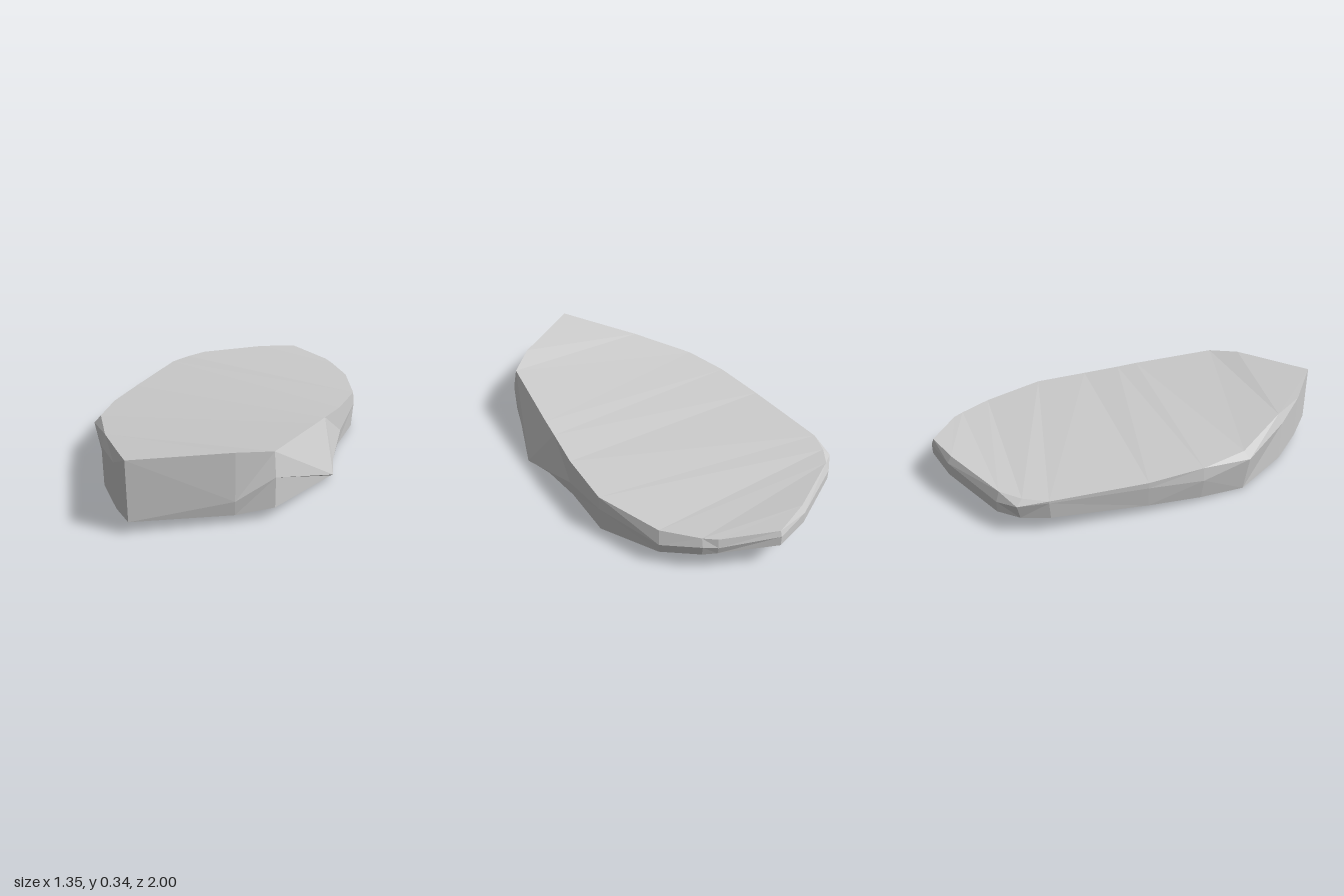
import * as THREE from 'three';

// Stations around the slab, counter-clockwise from above, starting at the front tip:
// [x, z, top height, top inset, height of widest point, bottom height, bottom inset]
const rightSide = [
  [0.15, 1.0, 0.345, 0, 0.06, 0.035, 0.05],
  [0.48, 0.7, 0.335, 0.01, 0.11, 0.04, 0.01],
  [0.6, 0.57, 0.31, 0.03, 0.2, 0.055, 0.0],
  [0.67, 0.13, 0.262, 0.16, 0.03, 0.02, 0.02],
  [0.61, 0.0, 0.248, 0.09, 0.04, 0.02, 0.02],
  [0.555, -0.2, 0.225, 0.02, 0.1, 0.015, 0.02],
  [0.51, -0.47, 0.205, 0.01, 0.14, 0.01, 0.01],
  [0.35, -0.77, 0.183, 0.03, 0.12, 0.07, 0.01],
  [0.2, -0.89, 0.188, 0.02, 0.15, 0.1, 0.01],
  [0.14, -0.92, 0.192, 0.01, 0.15, 0.11, 0.01],
];
const leftSide = [
  [-0.12, -1.0, 0.207, 0.01, 0.18, 0.13, 0.0],
  [-0.3, -0.91, 0.203, 0.02, 0.17, 0.11, 0.0],
  [-0.6, -0.68, 0.175, 0.02, 0.13, 0.08, 0.0],
  [-0.67, -0.59, 0.165, 0.04, 0.14, 0.075, 0.02],
  [-0.675, -0.45, 0.16, 0.0, 0.15, 0.07, 0.01],
  [-0.6, 0.0, 0.168, 0.0, 0.14, 0.04, 0.02],
  [-0.54, 0.27, 0.185, 0.01, 0.12, 0.02, 0.03],
  [-0.46, 0.51, 0.205, 0.05, 0.17, 0.0, 0.04],
  [-0.2, 0.75, 0.262, 0.03, 0.21, 0.01, 0.0],
  [0.0, 0.9, 0.308, 0.02, 0.25, 0.025, 0.0],
];
const stations = [...rightSide, ...leftSide];
const N = stations.length;

// Horizontal ring of corners pulled towards the centre by an inset
const ring = (height, inset) => stations.map((s) => {
  const k = 1 - (inset === null ? 0 : s[inset]);
  return [s[0] * k, s[height], s[1] * k];
});

function facetedMesh(name, triangles) {
  const geometry = new THREE.BufferGeometry();
  geometry.setAttribute('position', new THREE.Float32BufferAttribute(triangles.flat(2), 3));
  geometry.computeVertexNormals();
  const mesh = new THREE.Mesh(geometry, new THREE.MeshStandardMaterial({ color: 0xcccccc, flatShading: true }));
  mesh.name = name;
  return mesh;
}

// Wall between two rings, with alternating diagonals for a chipped look
function wall(lower, upper) {
  const triangles = [];
  for (let i = 0; i < N; i++) {
    const j = (i + 1) % N;
    const [a, b, c, d] = [lower[i], lower[j], upper[j], upper[i]];
    if (i % 2) triangles.push([a, b, c], [a, c, d]);
    else triangles.push([a, b, d], [b, c, d]);
  }
  return triangles;
}

// Cap made of strips running across the slab between opposite corners
function cap(points, up) {
  const triangles = [];
  for (let i = 0; i < N / 2; i++) {
    const a = points[i], b = points[i + 1];
    const c = points[N - i - 1], d = points[(N - i) % N];
    if (i < N / 2 - 1) triangles.push([a, b, c]);
    if (i > 0) triangles.push([a, c, d]);
  }
  return up ? triangles : triangles.map(([a, b, c]) => [a, c, b]);
}

export function createModel() {
  const top = ring(2, 3), middle = ring(4, null), bottom = ring(5, 6);
  const slab = new THREE.Group();
  slab.name = 'stoneSlab';
  slab.add(
    facetedMesh('topFace', cap(top, true)),
    facetedMesh('upperEdge', wall(middle, top)),
    facetedMesh('lowerEdge', wall(bottom, middle)),
    facetedMesh('underside', cap(bottom, false)),
  );
  return slab;
}
